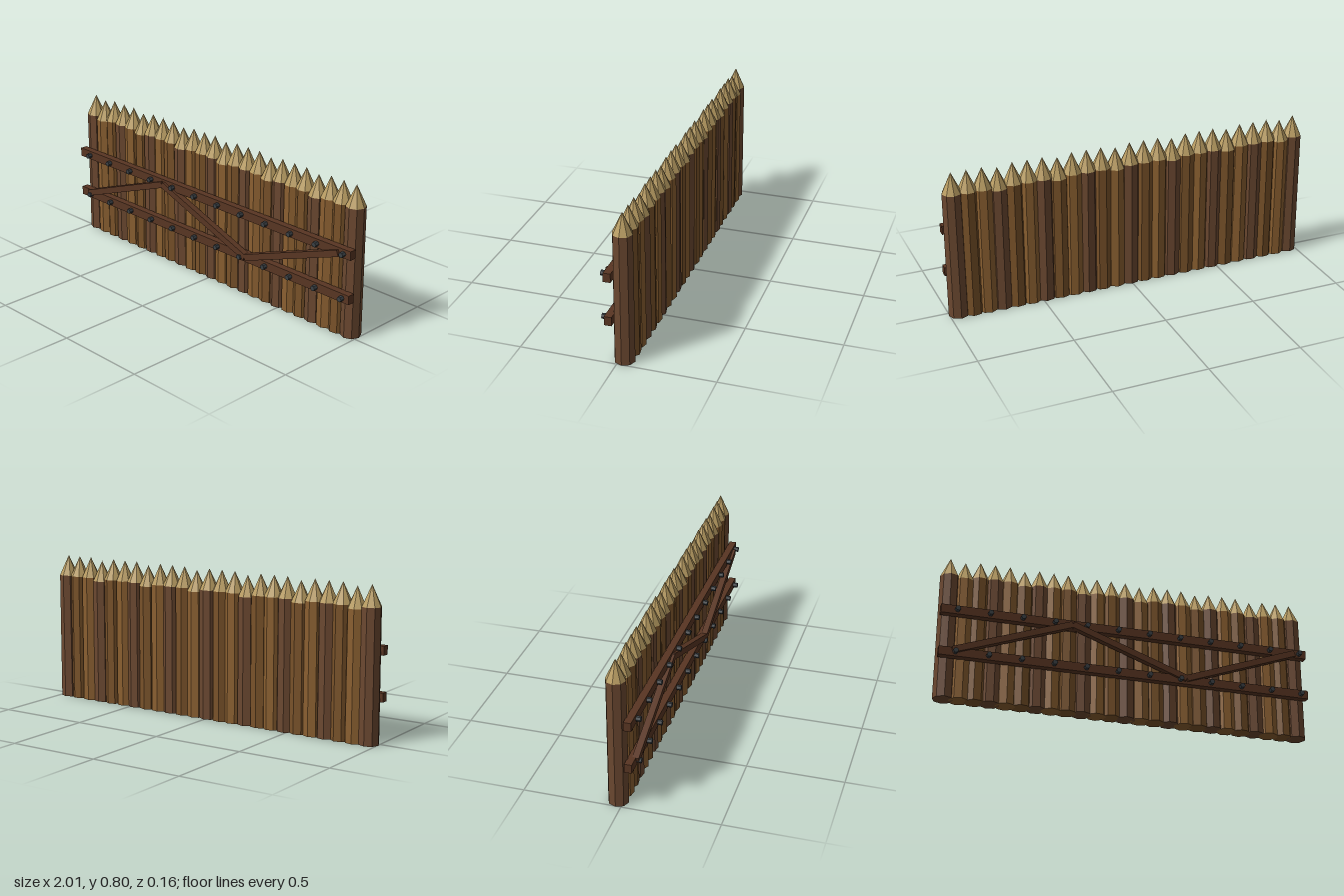
import * as THREE from 'three';

const mat = (color) => new THREE.MeshStandardMaterial({ color, flatShading: true });

export function createModel() {
  const group = new THREE.Group();
  const woods = [mat(0x6b4830), mat(0x8a5f30), mat(0x795229)];
  const tipMat = mat(0xb89c62);
  const railMat = mat(0x583522);
  const ironMat = mat(0x3a4044);

  const add = (name, geometry, material, x, y, z) => {
    const mesh = new THREE.Mesh(geometry, material);
    mesh.name = name;
    mesh.position.set(x, y, z);
    group.add(mesh);
    return mesh;
  };

  // Row of sharpened logs, every fourth one a little shorter
  const count = 25, radius = 0.051, logZ = -0.026;
  for (let i = 0; i < count; i++) {
    const x = (i / (count - 1) - 0.5) * 1.904;
    const height = i % 4 === 1 ? 0.674 : 0.688;
    const turn = i === 0 || i === count - 1 ? 0 : Math.sin(i * 2.4) * 0.25;
    add('log', new THREE.CylinderGeometry(radius, 0.053, height, 8), woods[i % 3], x, height / 2, logZ).rotation.y = turn;
    add('logTip', new THREE.ConeGeometry(radius, 0.11, 8), tipMat, x, height + 0.055, logZ).rotation.y = turn;
  }

  // Two horizontal rails with iron bolts
  const boltGeometry = new THREE.CylinderGeometry(0.014, 0.014, 0.026, 6);
  boltGeometry.rotateY(Math.PI / 6 + Math.PI / 3 * 1.0);
  boltGeometry.rotateX(Math.PI / 2);
  boltGeometry.rotateZ(0);
  for (const y of [0.231, 0.466]) {
    add('rail', new THREE.BoxGeometry(2, 0.047, 0.038), railMat, 0, y, 0.04);
    for (let i = 0; i < 12; i++) add('bolt', boltGeometry, ironMat, -0.915 + i * 0.1703, y, 0.07);
  }

  // Zigzag braces between the rails
  const corners = [[-0.93, 0.237], [-0.31, 0.463], [0.31, 0.237], [0.93, 0.463]];
  for (let i = 0; i < 3; i++) {
    const [x0, y0] = corners[i], [x1, y1] = corners[i + 1];
    const length = Math.hypot(x1 - x0, y1 - y0);
    const brace = add('brace', new THREE.BoxGeometry(length, 0.034, 0.033), railMat, (x0 + x1) / 2, (y0 + y1) / 2, 0.0565);
    brace.rotation.z = Math.atan2(y1 - y0, x1 - x0);
  }
  return group;
}
